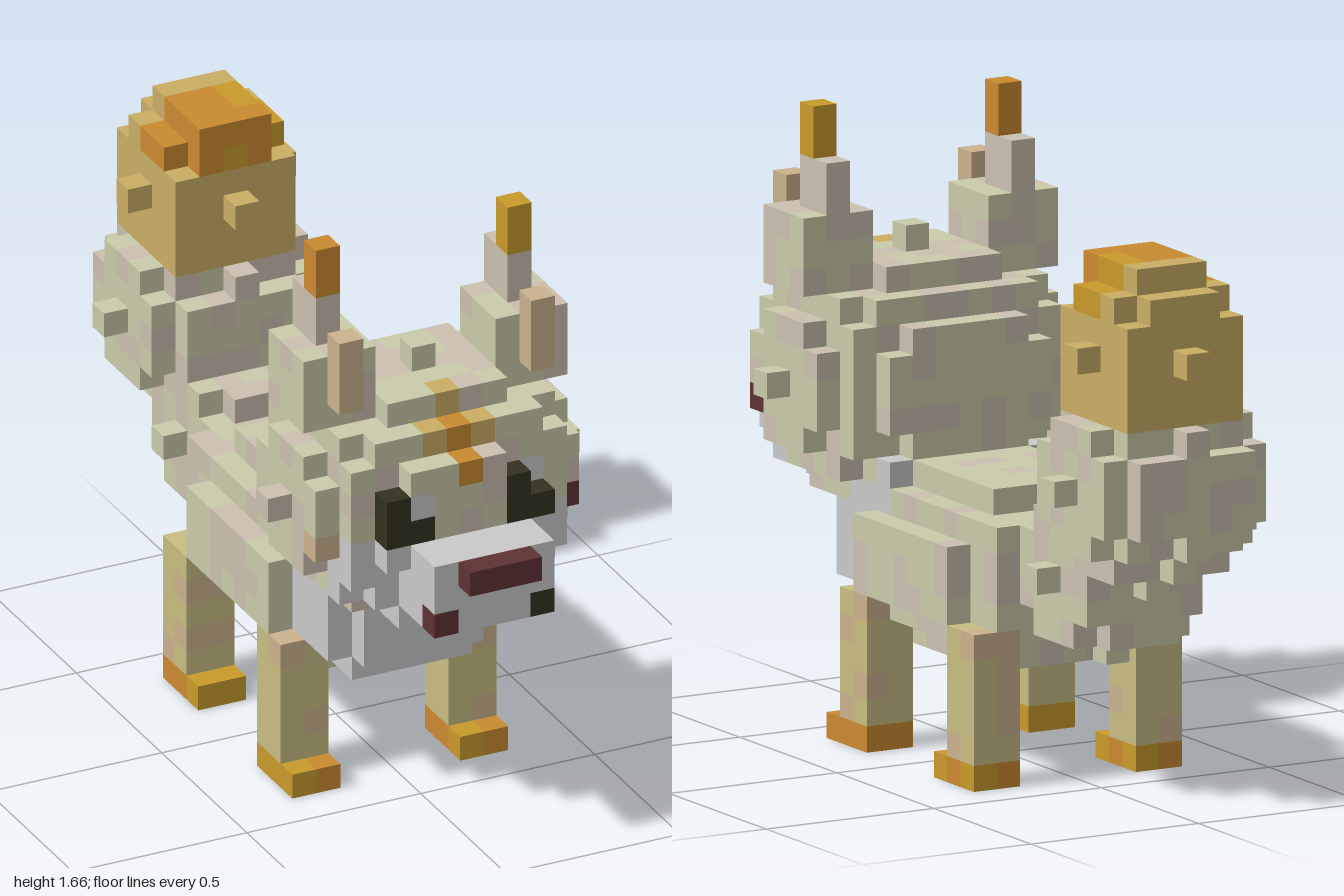
import * as THREE from 'three';

const U = 2 / 29; // cube size: 29 cubes make the full length

const COLORS = {
  cream: 0xcbcbab, beige: 0xccc0b0, straw: 0xc9be83, peach: 0xcbb38e, amber: 0xc9ae64,
  orange: 0xca8a30, gold: 0xc99a2b, paleGrey: 0xcacacb, darkOlive: 0x33321f, maroon: 0x5e3333,
};

// Repeatable mottling value in 0..1 for a cube
function noise(x, y, z) {
  let h = (x * 374761393 + y * 668265263 + z * 1274126177) | 0;
  h = Math.imul(h ^ (h >>> 13), 1274126177);
  return ((h ^ (h >>> 16)) >>> 0) / 4294967296;
}
const mix = (a, b, share) => (x, y, z) => (noise(x, y, z) < share ? b : a);
const fur = mix('cream', 'beige', 0.33);
const legFur = mix('straw', 'peach', 0.25);
const paw = mix('orange', 'gold', 0.5);

export function createModel() {
  const model = new THREE.Group();
  model.name = 'voxelFox';
  const materials = {};
  for (const [name, color] of Object.entries(COLORS)) {
    materials[name] = new THREE.MeshStandardMaterial({ color });
    materials[name].name = name;
  }

  // Every cube lives in one grid; a later part replaces an earlier one
  const grid = new Map();
  const key = (x, y, z) => `${x},${y},${z}`;
  const put = (part, x, y, z, paint) =>
    grid.set(key(x, y, z), { part, x, y, z, color: typeof paint === 'string' ? paint : paint(x, y, z) });
  const cut = (x, y, z) => grid.delete(key(x, y, z));

  function box(part, [x0, x1], [y0, y1], [z0, z1], paint) {
    for (let x = x0; x <= x1; x++)
      for (let y = y0; y <= y1; y++)
        for (let z = z0; z <= z1; z++) put(part, x, y, z, paint);
  }
  function ball(part, cy, cz, rx, ry, rz, paint) {
    for (let x = -6; x <= 6; x++)
      for (let y = -6; y <= 6; y++)
        for (let z = -6; z <= 6; z++)
          if ((x / rx) ** 2 + (y / ry) ** 2 + (z / rz) ** 2 <= 1.0001) put(part, x, cy + y, cz + z, paint);
  }

  // Body: rounded section run along z, with a narrower rump
  for (let z = -5; z <= 3; z++)
    for (let x = -4; x <= 4; x++)
      for (let y = -3; y <= 3; y++) {
        const inside = (x / 4.4) ** 2 + (y / 3.4) ** 2 <= 1;
        const rump = z < -3 && (Math.abs(x) > 3 || y < -1 || y > 2);
        if (inside && !rump) put('body', x, 7 + y, z, fur);
      }

  // Chest
  box('chest', [-3, 3], [6, 10], [3, 6], 'paleGrey');
  box('chest', [-2, 2], [6, 9], [7, 7], 'paleGrey');
  box('chest', [-2, 2], [5, 5], [3, 6], 'paleGrey');
  put('chest', 0, 4, 2, 'paleGrey');

  // Legs and paws
  for (const s of [-1, 1]) {
    const xs = s > 0 ? [3, 4] : [-4, -3];
    box('frontLeg', xs, [1, 5], [3, 4], legFur);
    box('frontPaw', xs, [0, 0], [3, 5], paw);
    box('backLeg', xs, [1, 5], [-5, -4], legFur);
    box('backPaw', xs, [0, 0], [-5, -3], paw);
  }

  // Tail: three balls rising to a coloured tip
  ball('tailBase', 8, -8, 3, 3, 3, fur);
  ball('tailMiddle', 12, -11, 4, 3.7, 3.7, fur);
  const tipPaint = (x, y, z) => {
    if (y < 19 || z < -11) return 'amber';
    return x === 0 && y === 19 || x > 0 && z < -9 ? 'gold' : 'orange';
  };
  ball('tailTip', 17, -11, 3, 3, 3, tipPaint);
  box('tailTip', [-2, 2], [15, 15], [-13, -9], 'amber');
  box('tailTip', [-1, 1], [20, 20], [-12, -9], tipPaint);

  // Head with pale cheeks and a forehead blaze
  ball('head', 13, 7, 6, 5, 4.9, (x, y, z) => {
    if (x === 0 && y >= 15 && z >= 10) return 'orange';
    if ((x === 0 && y === 17 && z === 9) || (Math.abs(x) === 1 && y === 16 && z === 10)) return 'amber';
    if (y <= 12 && z >= 9) return 'paleGrey';
    return fur(x, y, z);
  });
  put('cheekMark', 5, 12, 9, 'maroon');
  put('cheekMark', -5, 12, 9, 'peach');

  // Muzzle, nose and mouth
  box('muzzle', [-2, 2], [10, 12], [9, 13], 'paleGrey');
  box('muzzle', [-2, 2], [9, 9], [8, 10], 'paleGrey');
  box('nose', [-1, 1], [12, 12], [14, 14], 'maroon');
  put('mouth', -2, 10, 13, 'maroon');
  put('mouth', 2, 10, 13, 'darkOlive');
  box('mouth', [-1, 0], [9, 9], [10, 10], 'darkOlive');
  put('mouth', 1, 9, 10, 'maroon');

  // Eyes, glancing to one side
  for (const x of [-3, -2, 2, 3]) put('eye', x, 13, 11, 'darkOlive');
  put('eye', -3, 14, 11, 'darkOlive');
  put('eye', 2, 14, 11, 'darkOlive');
  put('eye', -2, 14, 11, 'paleGrey');
  put('eye', 3, 14, 10, 'paleGrey');
  cut(3, 14, 11);
  cut(2, 15, 11);

  // Ears: block base, thin upper part, bright tip and inner strip in front
  for (const s of [-1, 1]) {
    const mid = [4 * s, 4 * s];
    box('ear', s > 0 ? [3, 5] : [-5, -3], [17, 19], [6, 8], fur);
    box('ear', mid, [20, 21], [6, 7], 'beige');
    box('earTip', mid, [22, 23], [7, 7], s > 0 ? 'gold' : 'orange');
    box('innerEar', mid, [18, 20], [9, 9], 'peach');
  }

  // Turn exposed cube faces into one mesh per part and colour
  const faces = new Map();
  for (const c of grid.values()) {
    const id = `${c.part}|${c.color}`;
    const p = [c.x, c.y, c.z];
    for (let axis = 0; axis < 3; axis++)
      for (const s of [-1, 1]) {
        const next = p.slice();
        next[axis] += s;
        if (grid.has(key(...next))) continue;
        const a = (axis + 1) % 3, b = (axis + 2) % 3;
        const corner = (u, v) => {
          const q = [c.x, c.y + 0.5, c.z];
          q[axis] += s / 2;
          q[a] += (u * s) / 2;
          q[b] += v / 2;
          return q.map((n) => n * U);
        };
        const [A, B, C, D] = [corner(-1, -1), corner(1, -1), corner(1, 1), corner(-1, 1)];
        if (!faces.has(id)) faces.set(id, []);
        faces.get(id).push(...A, ...B, ...C, ...A, ...C, ...D);
      }
  }
  const parts = {};
  for (const [id, points] of faces) {
    const [part, color] = id.split('|');
    if (!parts[part]) {
      parts[part] = new THREE.Group();
      parts[part].name = part;
      model.add(parts[part]);
    }
    const geometry = new THREE.BufferGeometry();
    geometry.setAttribute('position', new THREE.Float32BufferAttribute(points, 3));
    geometry.computeVertexNormals();
    const mesh = new THREE.Mesh(geometry, materials[color]);
    mesh.name = `${part} ${color}`;
    parts[part].add(mesh);
  }
  return model;
}
